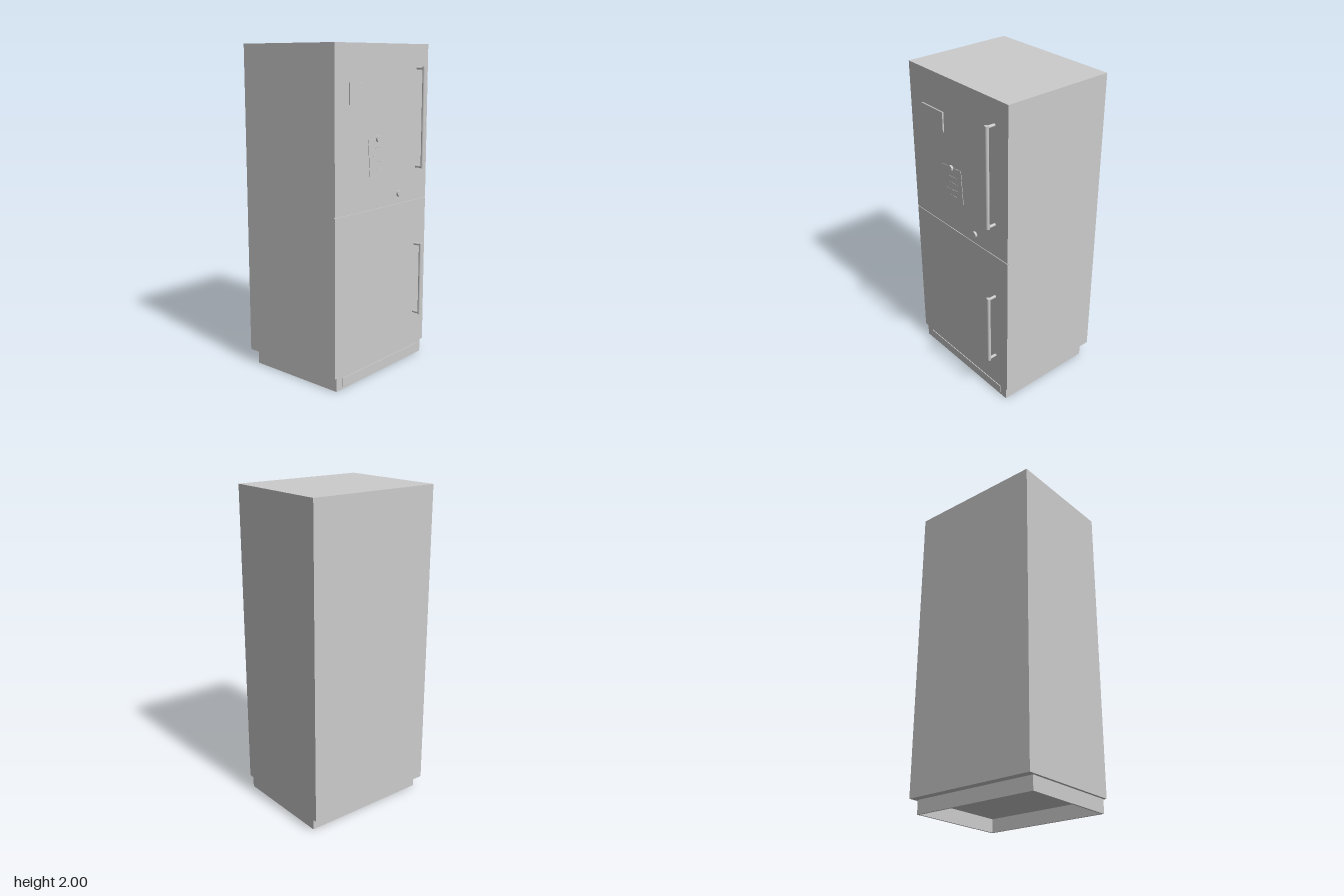
import * as THREE from 'three';

const steel = new THREE.MeshStandardMaterial({ color: 0xcccccc });
steel.name = 'brushed grey';
const FRONT = 0.327; // z of the door faces

function add(parent, name, geometry, x = 0, y = 0, z = 0) {
  const mesh = new THREE.Mesh(geometry, steel);
  mesh.name = name;
  mesh.position.set(x, y, z);
  parent.add(mesh);
  return mesh;
}

const box = (w, h, d) => new THREE.BoxGeometry(w, h, d);

// Cabinet: side outline with a fine seam between the doors, extruded across x
function cabinetGeometry() {
  const seam = 1.042, half = 0.002, depth = 0.006;
  const outline = [
    [-0.39, 0.085], [FRONT, 0.085], [FRONT, seam - half], [FRONT - depth, seam - half],
    [FRONT - depth, seam + half], [FRONT, seam + half], [FRONT, 2], [-0.39, 2],
  ].map(([z, y]) => new THREE.Vector2(-z, y));
  const geometry = new THREE.ExtrudeGeometry(new THREE.Shape(outline), { depth: 0.876, bevelEnabled: false });
  geometry.translate(0, 0, -0.438);
  geometry.rotateY(Math.PI / 2);
  return geometry;
}

// Long bar held off the door by two short posts
function makeHandle(name, bottom, top) {
  const handle = new THREE.Group();
  handle.name = name;
  const x = 0.327, barZ = 0.379;
  const bar = add(handle, 'bar', new THREE.CylinderGeometry(0.0135, 0.0135, top - bottom, 16), x, (top + bottom) / 2, barZ);
  bar.scale.z = 0.82;
  for (const y of [bottom + 0.009, top - 0.009]) {
    const post = add(handle, 'post', new THREE.CylinderGeometry(0.009, 0.009, barZ - FRONT, 12), x, y, (barZ + FRONT) / 2);
    post.rotation.x = Math.PI / 2;
  }
  return handle;
}

function addMagnet(parent, x, y) {
  const magnet = add(parent, 'roundMagnet', new THREE.CylinderGeometry(0.019, 0.019, 0.014, 24), x, y, FRONT + 0.007);
  magnet.rotation.x = Math.PI / 2;
}

export function createModel() {
  const model = new THREE.Group();
  model.name = 'refrigerator';
  add(model, 'cabinet', cabinetGeometry());

  // Hollow plinth, set in at the back and sides
  const plinth = new THREE.Group();
  plinth.name = 'plinth';
  model.add(plinth);
  for (const side of [-1, 1]) {
    add(plinth, 'plinthSide', box(0.012, 0.085, 0.66), side * 0.414, 0.0425, -0.01);
    add(plinth, 'plinthEnd', box(0.816, 0.085, 0.012), 0, 0.0425, -0.01 + side * 0.324);
  }
  add(plinth, 'toePanel', box(0.73, 0.056, 0.008), 0, 0.04, 0.321);

  model.add(makeHandle('upperHandle', 1.245, 1.865));
  model.add(makeHandle('lowerHandle', 0.295, 0.765));

  // Small plate on the upper door
  add(model, 'doorPlate', box(0.2, 0.122, 0.009), -0.22, 1.723, FRONT + 0.0045);

  // Tilted paper note with rows of short dashes
  const note = new THREE.Group();
  note.name = 'note';
  note.position.set(-0.052, 1.354, FRONT + 0.002);
  note.rotation.z = 0.075;
  model.add(note);
  add(note, 'paper', box(0.178, 0.218, 0.003));
  for (let row = 0; row < 4; row++) {
    const dashes = row === 3 ? 3 : 5;
    for (let i = 0; i < dashes; i++) {
      add(note, 'dash', box(0.015, 0.003, 0.002), (i - (dashes - 1) / 2) * 0.023, 0.05 - row * 0.042, 0.002);
    }
  }
  addMagnet(model, -0.062, 1.456);
  addMagnet(model, 0.148, 1.105);
  return model;
}
